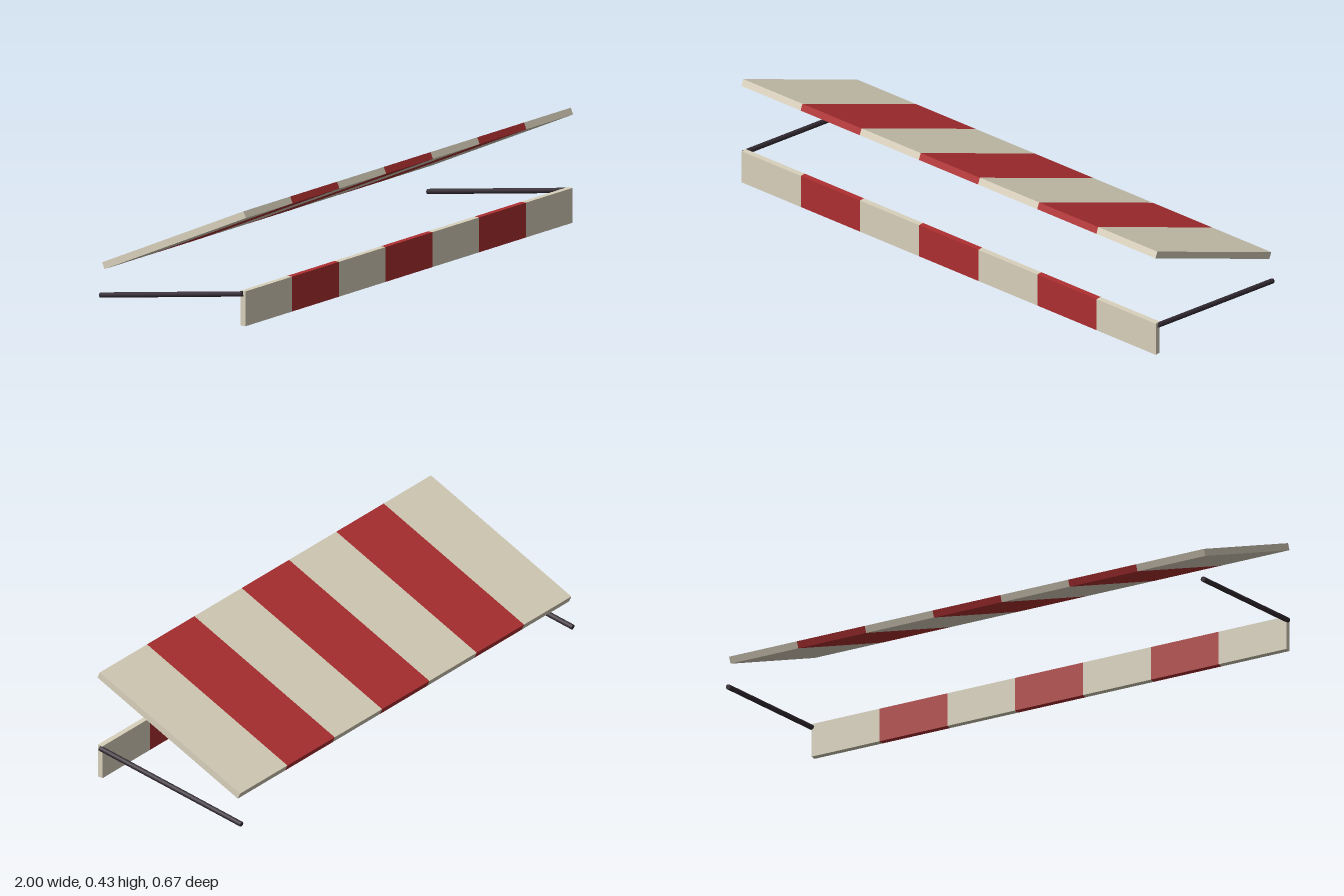
import * as THREE from 'three';

const cream = new THREE.MeshStandardMaterial({ name: 'cream canvas', color: 0xd9d1bc });
const red = new THREE.MeshStandardMaterial({ name: 'red canvas', color: 0xae2f31 });
const dark = new THREE.MeshStandardMaterial({ name: 'dark metal', color: 0x352d35 });

const HALF_WIDTH = 0.99;
const STRIPES = 7;

// A panel divided across its width into alternating canvas stripes
function stripedPanel(name, height, depth) {
  const group = new THREE.Group();
  group.name = name;
  const w = (2 * HALF_WIDTH) / STRIPES;
  const geometry = new THREE.BoxGeometry(w, height, depth);
  for (let i = 0; i < STRIPES; i++) {
    const stripe = new THREE.Mesh(geometry, i % 2 ? red : cream);
    stripe.name = name + 'Stripe';
    stripe.position.x = -HALF_WIDTH + w * (i + 0.5);
    group.add(stripe);
  }
  return group;
}

// A round rod between two points
function rod(name, a, b, radius) {
  const dir = b.clone().sub(a);
  const mesh = new THREE.Mesh(new THREE.CylinderGeometry(radius, radius, dir.length(), 8), dark);
  mesh.name = name;
  mesh.position.copy(a).add(b).multiplyScalar(0.5);
  mesh.quaternion.setFromUnitVectors(new THREE.Vector3(0, 1, 0), dir.normalize());
  return mesh;
}

export function createModel() {
  const model = new THREE.Group();
  model.name = 'awning';

  // Sloping canopy, high at the front
  const canopy = stripedPanel('canopy', 0.0265, 0.716);
  canopy.position.set(0, 0.276, 0.0055);
  canopy.rotation.x = -0.42;
  model.add(canopy);

  // Upright front valance
  const valance = stripedPanel('valance', 0.132, 0.022);
  valance.position.set(0, 0.066, 0.325);
  model.add(valance);

  // Support rods at both ends
  for (const side of [-1, 1]) {
    const x = side * 0.99;
    model.add(rod(side > 0 ? 'leftRod' : 'rightRod',
      new THREE.Vector3(x, 0.017, -0.334), new THREE.Vector3(x, 0.121, 0.325), 0.01));
  }
  return model;
}
